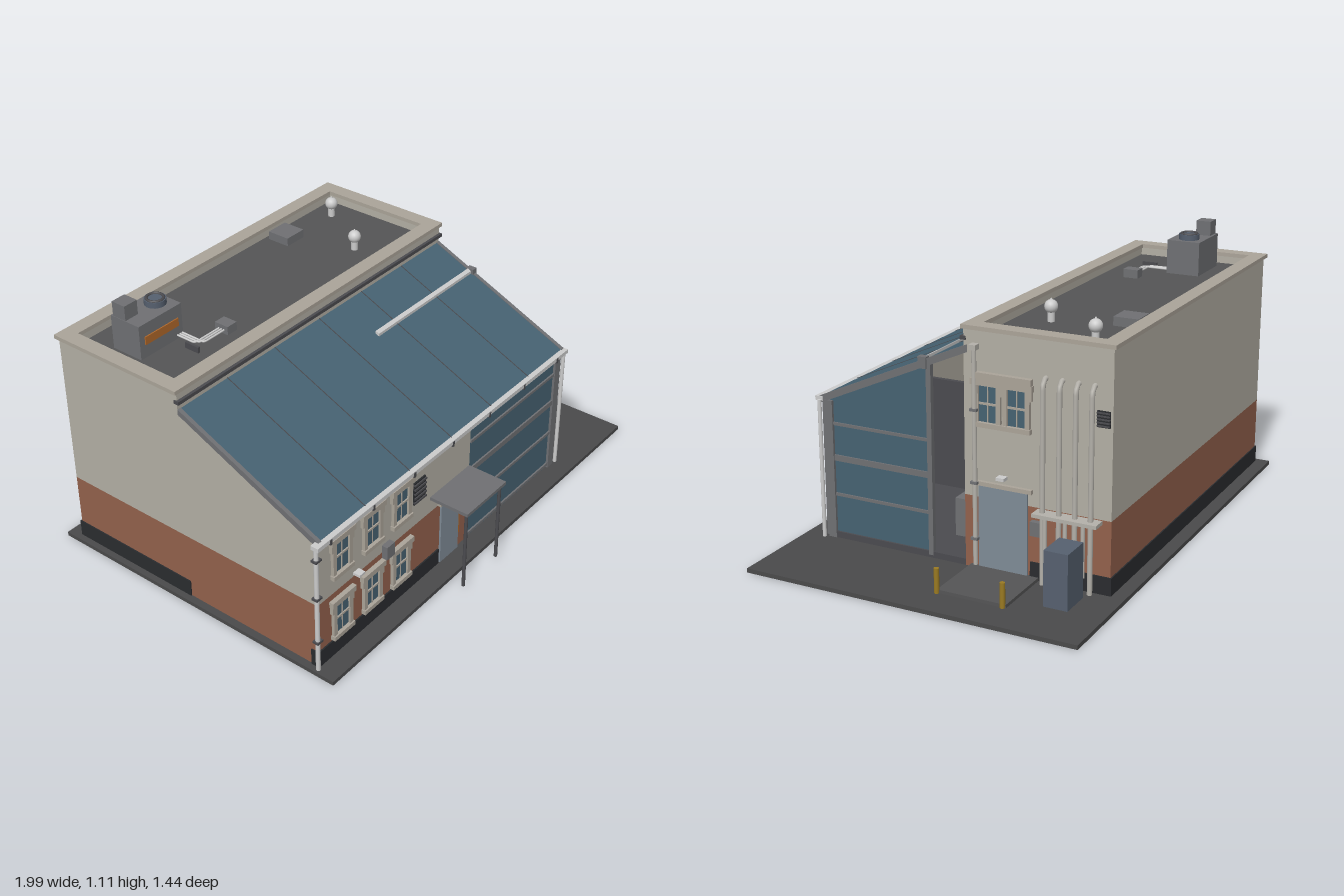
import * as THREE from 'three';

const C = {
  stone: 0xb3afa4, trim: 0xaba499, brick: 0x93614c, plinth: 0x2a2c2f, ground: 0x4a4a4b, roof: 0x555556,
  glass: 0x466272, steel: 0x6f7073, dark: 0x4b4b4f, door: 0x7f8b96, pipe: 0xb4b1aa, orange: 0xb0682a,
  yellow: 0x9a7a22, pale: 0xc4c4c4, blue: 0x56606f,
};
const mats = {};
const mat = c => mats[c] ??= new THREE.MeshStandardMaterial({ color: C[c] });

function add(parent, name, color, geo) {
  const m = new THREE.Mesh(geo, mat(color));
  m.name = name;
  parent.add(m);
  return m;
}
// box from its limits on each axis
function box(p, name, color, x0, x1, y0, y1, z0, z1) {
  const g = new THREE.BoxGeometry(x1 - x0, y1 - y0, z1 - z0);
  return add(p, name, color, g.translate((x0 + x1) / 2, (y0 + y1) / 2, (z0 + z1) / 2));
}
// upright cylinder
function post(p, name, color, x, z, y0, y1, r, r2 = r) {
  return add(p, name, color, new THREE.CylinderGeometry(r2, r, y1 - y0, 16).translate(x, (y0 + y1) / 2, z));
}
// (z, y) outline extruded from x0 to x1
function slab(p, name, color, pts, x0, x1) {
  const s = new THREE.Shape(pts.map(a => new THREE.Vector2(...a)));
  const g = new THREE.ExtrudeGeometry(s, { depth: x1 - x0, bevelEnabled: false });
  return add(p, name, color, g.rotateY(-Math.PI / 2).translate(x1, 0, 0));
}
// round pipe through points, with tight bends
function pipe(p, name, color, pts, r) {
  const path = new THREE.CatmullRomCurve3(pts.map(a => new THREE.Vector3(...a)), false, 'catmullrom', 0.1);
  return add(p, name, color, new THREE.TubeGeometry(path, 40, r, 10));
}
// height of the sloping glass roof
const slope = z => 0.59 + (0.56 - z) * 0.446;

// sash window facing +z, glass centred on the origin
function sash(p, x, y, z) {
  const g = new THREE.Group();
  g.name = 'window';
  box(g, 'windowGlass', 'glass', -0.038, 0.038, -0.07, 0.07, -0.01, 0.003);
  for (const s of [-1, 1]) {
    box(g, 'jamb', 'trim', s * 0.045 - 0.009, s * 0.045 + 0.009, -0.08, 0.075, -0.01, 0.012);
    box(g, 'shoulder', 'trim', s * 0.054 - 0.008, s * 0.054 + 0.008, 0.035, 0.075, -0.01, 0.012);
  }
  box(g, 'meetingRail', 'trim', -0.038, 0.038, -0.004, 0.004, -0.01, 0.008);
  box(g, 'glazingBar', 'trim', -0.002, 0.002, -0.07, 0.07, -0.01, 0.006);
  box(g, 'lintel', 'trim', -0.066, 0.066, 0.07, 0.094, -0.01, 0.018);
  box(g, 'sill', 'trim', -0.058, 0.058, -0.088, -0.07, -0.01, 0.018);
  g.position.set(x, y, z);
  p.add(g);
  return g;
}
function louvre(p, x, y, z, w, h) {
  const g = new THREE.Group();
  g.name = 'louvreVent';
  box(g, 'ventFrame', 'plinth', -w / 2, w / 2, -h / 2, h / 2, -0.005, 0.006);
  for (let i = 0; i < 5; i++) {
    const v = -h / 2 + h * (i + 0.5) / 5;
    box(g, 'ventSlat', 'dark', -w / 2, w / 2, v - h * 0.04, v + h * 0.04, -0.005, 0.011);
  }
  g.position.set(x, y, z);
  p.add(g);
  return g;
}

function mainBlock(g) {
  box(g, 'brickBand', 'brick', -0.96, 0.6, 0.02, 0.305, -0.66, -0.07);
  box(g, 'upperWall', 'stone', -0.96, 0.6, 0.305, 0.9, -0.66, -0.07);
  box(g, 'backPlinth', 'plinth', -0.965, 0.605, 0.02, 0.09, -0.665, -0.34);
  box(g, 'leftPlinth', 'plinth', -0.965, -0.9, 0.02, 0.09, -0.665, -0.07);
  box(g, 'flatRoof', 'roof', -0.92, 0.56, 0.89, 0.91, -0.64, -0.12);
  // parapet and its projecting coping
  for (const [n, c, y0, y1, o, t] of [['parapet', 'stone', 0.9, 0.94, 0, 0.05], ['coping', 'trim', 0.94, 0.956, 0.012, 0.062]]) {
    const [a, b, d, e] = [-0.96 - o, 0.6 + o, -0.66 - o, -0.07 + o / 2];
    box(g, n, c, a, b, y0, y1, d, d + t);
    box(g, n, c, a, b, y0, y1, e - t, e);
    box(g, n, c, a, a + t, y0, y1, d + t, e - t);
    box(g, n, c, b - t, b, y0, y1, d + t, e - t);
  }
}

function leanTo(g) {
  // front and left walls
  box(g, 'frontBrick', 'brick', -0.96, -0.04, 0.02, 0.305, 0.53, 0.55);
  box(g, 'frontWall', 'stone', -0.96, -0.04, 0.305, 0.575, 0.53, 0.55);
  box(g, 'frontPlinth', 'plinth', -0.965, -0.235, 0.02, 0.09, 0.52, 0.556);
  box(g, 'leftBrick', 'brick', -0.96, -0.94, 0.02, 0.305, -0.08, 0.54);
  slab(g, 'leftWall', 'stone', [[-0.08, 0.305], [0.54, 0.305], [0.54, 0.575], [-0.08, slope(-0.08) - 0.02]], -0.96, -0.94);
  // interior
  box(g, 'floor', 'dark', -0.94, 0.6, 0.02, 0.045, -0.07, 0.53);
  box(g, 'partition', 'dark', -0.04, -0.02, 0.04, 0.51, -0.07, 0.53);
  // sloping roof with seams, verge frames and rail
  const band = (z0, z1, lo, hi) => [[z1, slope(z1) + lo], [z1, slope(z1) + hi], [z0, slope(z0) + hi], [z0, slope(z0) + lo]];
  slab(g, 'glassRoof', 'glass', band(-0.08, 0.56, -0.02, 0), -0.955, 0.59);
  for (const x of [-0.96, 0.585]) slab(g, 'verge', 'steel', band(-0.085, 0.56, -0.026, 0.003), x, x + 0.016);
  for (let i = 0; i < 5; i++) slab(g, 'roofSeam', 'dark', band(-0.08, 0.56, -0.01, 0.002), -0.702 + i * 0.26, -0.699 + i * 0.26);
  box(g, 'ridgeFlashing', 'dark', -0.965, 0.605, 0.897, 0.911, -0.08, -0.058);
  slab(g, 'roofRail', 'pale', band(0.094, 0.11, -0.01, 0.012), -0.04, 0.6);
  box(g, 'roofBracket', 'steel', 0.58, 0.606, 0.765, 0.81, 0.085, 0.12);
  // gutter
  box(g, 'gutter', 'pale', -0.985, 0.605, 0.575, 0.592, 0.545, 0.578);
  for (let i = 0; i < 7; i++) box(g, 'gutterBracket', 'dark', -0.92 + i * 0.24, -0.91 + i * 0.24, 0.567, 0.589, 0.545, 0.58);

  // glazed front and side
  box(g, 'frontGlass', 'glass', -0.04, 0.57, 0.02, 0.575, 0.535, 0.548);
  slab(g, 'sideGlass', 'glass', [[0.08, 0.03], [0.53, 0.03], [0.53, slope(0.53) - 0.02], [0.08, slope(0.08) - 0.02]], 0.585, 0.592);
  for (const y of [0.037, 0.2, 0.35, 0.488, 0.565]) {
    const h = y === 0.35 ? 0.012 : 0.006;
    box(g, 'frontTransom', 'steel', -0.04, 0.57, y - h, y + h, 0.535, 0.555);
    if (y < 0.5) box(g, 'sideTransom', 'steel', 0.58, 0.598, y - h, y + h, 0.08, 0.53);
  }
  slab(g, 'sideMullion', 'steel', [[0.07, 0.03], [0.09, 0.03], [0.09, slope(0.09) - 0.01], [0.07, slope(0.07) - 0.01]], 0.58, 0.6);
  box(g, 'cornerPost', 'steel', 0.55, 0.588, 0.02, 0.58, 0.505, 0.558);
  box(g, 'cornerPost', 'steel', 0.59, 0.603, 0.02, 0.58, 0.505, 0.54);
  post(g, 'cornerPipe', 'pale', 0.61, 0.556, 0.02, 0.58, 0.008);

  // front windows, vents and lamps
  for (const x of [-0.83, -0.655, -0.483]) for (const y of [0.185, 0.465]) sash(g, x, y, 0.551);
  louvre(g, -0.37, 0.458, 0.551, 0.07, 0.1);
  box(g, 'meterBox', 'steel', -0.592, -0.546, 0.28, 0.338, 0.55, 0.575);
  box(g, 'wallLamp', 'pale', -0.76, -0.728, 0.314, 0.324, 0.55, 0.58);
  // front door and canopy
  box(g, 'frontDoor', 'door', -0.228, -0.11, 0.02, 0.305, 0.54, 0.558);
  box(g, 'doorEdge', 'orange', -0.108, -0.1, 0.09, 0.305, 0.54, 0.556);
  box(g, 'doorLintel', 'trim', -0.245, -0.085, 0.305, 0.325, 0.54, 0.566);
  box(g, 'canopy', 'steel', -0.295, -0.04, 0.363, 0.377, 0.545, 0.72);
  for (const x of [-0.277, -0.057]) post(g, 'canopyPost', 'dark', x, 0.703, 0.015, 0.365, 0.007);
  // downpipe on the left corner
  post(g, 'leftDownpipe', 'pale', -0.972, 0.558, 0.02, 0.58, 0.009);
  for (const y of [0.15, 0.35, 0.52]) box(g, 'pipeClip', 'dark', -0.986, -0.955, y, y + 0.008, 0.545, 0.57);
}

function robotArm(g) {
  const arm = new THREE.Group();
  arm.name = 'robotArm';
  post(arm, 'pedestal', 'steel', 0.3, -0.03, 0.045, 0.12, 0.032);
  post(arm, 'turntable', 'orange', 0.3, -0.03, 0.12, 0.16, 0.026);
  slab(arm, 'lowerArm', 'orange', [[-0.05, 0.18], [-0.015, 0.15], [0.04, 0.35], [0.012, 0.36]], 0.285, 0.315);
  add(arm, 'elbow', 'dark', new THREE.CylinderGeometry(0.02, 0.02, 0.05, 16).rotateZ(Math.PI / 2).translate(0.3, 0.355, 0.028));
  slab(arm, 'foreArm', 'orange', [[0.022, 0.345], [0.05, 0.34], [0.068, 0.225], [0.052, 0.225]], 0.285, 0.315);
  box(arm, 'workbench', 'steel', 0.15, 0.42, 0.045, 0.2, 0.03, 0.075);
  g.add(arm);
}

function rightSide(g) {
  for (const z of [-0.17, -0.287]) sash(g, 0.601, 0.67, z).rotation.y = Math.PI / 2;
  box(g, 'windowHead', 'trim', 0.6, 0.62, 0.764, 0.788, -0.35, -0.12);
  louvre(g, 0.601, 0.682, -0.626, 0.05, 0.06).rotation.y = Math.PI / 2;
  // service pipes and cable tray
  for (const z of [-0.4, -0.465, -0.528, -0.59]) {
    pipe(g, 'servicePipe', 'pipe', [[0.625, 0.02, z], [0.625, 0.76, z], [0.619, 0.785, z], [0.61, 0.797, z], [0.59, 0.8, z]], 0.01);
  }
  box(g, 'cableTray', 'pipe', 0.6, 0.655, 0.288, 0.302, -0.625, -0.37);
  for (const z of [-0.42, -0.5, -0.57]) post(g, 'lowerPipe', 'pipe', 0.645, z, 0.09, 0.29, 0.008);
  // downpipe with hopper
  post(g, 'downpipe', 'pipe', 0.615, -0.12, 0.04, 0.88, 0.009);
  box(g, 'hopper', 'pipe', 0.6, 0.63, 0.87, 0.89, -0.134, -0.106);
  for (const y of [0.14, 0.36, 0.64]) box(g, 'pipeClip', 'steel', 0.6, 0.628, y, y + 0.01, -0.134, -0.106);
  // loading door, lamp and switch box
  box(g, 'loadingDoor', 'door', 0.59, 0.608, 0.03, 0.355, -0.33, -0.13);
  box(g, 'loadingLintel', 'trim', 0.59, 0.615, 0.355, 0.371, -0.35, -0.12);
  box(g, 'doorLamp', 'pale', 0.6, 0.63, 0.392, 0.404, -0.247, -0.213);
  box(g, 'switchBox', 'steel', 0.6, 0.622, 0.2, 0.255, -0.392, -0.348);
  // cabinet, loading pad and bollards
  box(g, 'cabinet', 'blue', 0.66, 0.787, 0.02, 0.235, -0.58, -0.485);
  box(g, 'loadingPad', 'roof', 0.6, 0.86, 0.02, 0.033, -0.375, -0.095);
  for (const z of [-0.095, -0.362]) post(g, 'bollard', 'yellow', 0.86, z, 0.02, 0.117, 0.01);
}

function roofPlant(g) {
  box(g, 'plantUnit', 'steel', -0.85, -0.632, 0.905, 1.05, -0.49, -0.35);
  box(g, 'plantGrille', 'orange', -0.825, -0.655, 0.965, 0.998, -0.36, -0.345);
  box(g, 'plantStack', 'steel', -0.848, -0.785, 1.05, 1.11, -0.48, -0.417);
  post(g, 'fanHousing', 'blue', -0.69, -0.423, 1.05, 1.073, 0.042);
  add(g, 'fanRing', 'dark', new THREE.TorusGeometry(0.032, 0.006, 8, 24).rotateX(Math.PI / 2).translate(-0.69, 1.073, -0.423));
  // pipework to the small pump box
  for (const o of [0, 0.012, 0.024]) {
    pipe(g, 'roofPipe', 'pale', [[-0.66 + o, 0.925, -0.35], [-0.66 + o, 0.925, -0.27 + o], [-0.645 + o, 0.925, -0.264 + o], [-0.52, 0.925, -0.264 + o]], 0.004);
  }
  box(g, 'pipeSupport', 'dark', -0.69, -0.68, 0.905, 0.935, -0.285, -0.22);
  box(g, 'pumpBox', 'steel', -0.53, -0.48, 0.905, 0.945, -0.283, -0.22);
  box(g, 'roofHatch', 'steel', 0.13, 0.23, 0.905, 0.945, -0.59, -0.49);
  // ball ventilators
  for (const [x, z] of [[0.45, -0.52], [0.28, -0.262]]) {
    post(g, 'ventStem', 'pale', x, z, 0.905, 0.955, 0.014);
    add(g, 'ventBall', 'pale', new THREE.SphereGeometry(0.026, 20, 14).translate(x, 0.968, z));
    post(g, 'ventTip', 'pale', x, z, 0.99, 0.999, 0.006, 0.003);
  }
}

export function createModel() {
  const root = new THREE.Group();
  root.name = 'workshopBuilding';
  box(root, 'groundSlab', 'ground', -0.99, 1, 0.003, 0.02, -0.72, 0.64);
  for (const [name, build] of Object.entries({ mainBlock, leanTo, robotArm, rightSide, roofPlant })) {
    const g = new THREE.Group();
    g.name = name;
    build(g);
    root.add(g);
  }
  return root;
}
